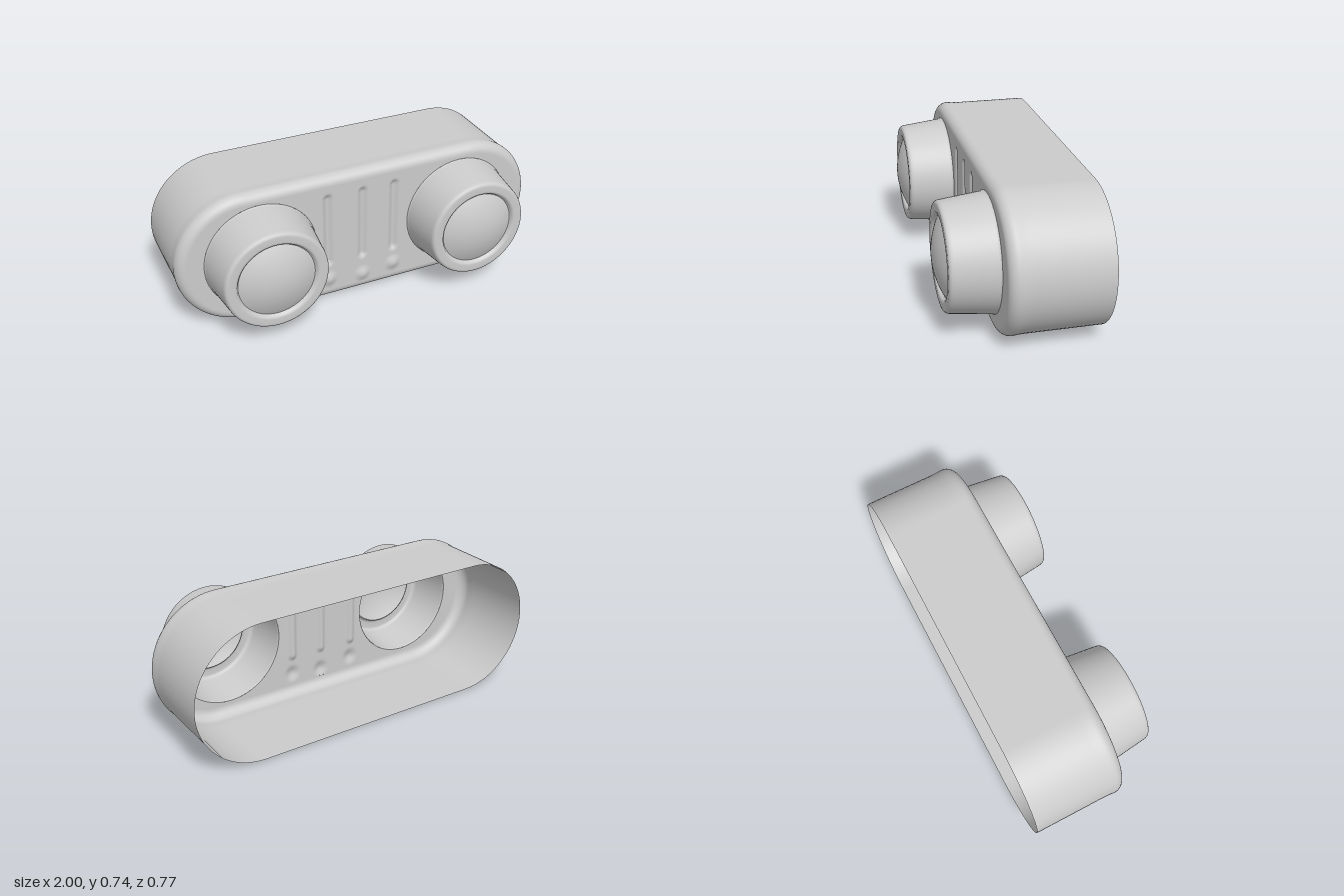
import * as THREE from 'three';

const CY = 0.368, R = 0.368, HALF = 1 - R;   // stadium outline
const BACK = -0.385, FACE = 0.114;           // shell depth
const POD_X = 0.56, POD_Y = 0.371, POD_R = 0.3;

const mat = new THREE.MeshStandardMaterial({ color: 0xcccccc, side: THREE.DoubleSide });

function mesh(name, geometry) {
  const m = new THREE.Mesh(geometry, mat);
  m.name = name;
  return m;
}

// Stadium outline moved inwards by inset, counter-clockwise from the front
function stadium(inset, n = 40) {
  const pts = [];
  for (const side of [1, -1]) {
    for (let i = 0; i <= n; i++) {
      const a = -Math.PI / 2 + Math.PI * i / n;
      pts.push(new THREE.Vector2(side * (HALF + (R - inset) * Math.cos(a)), CY + side * (R - inset) * Math.sin(a)));
    }
  }
  return pts;
}

// Skin over stadium sections given as [inset, z], from back to front
function loft(sections) {
  const pos = [], idx = [];
  let n = 0;
  sections.forEach(([inset, z], s) => {
    const ring = stadium(inset);
    n = ring.length;
    ring.forEach(p => pos.push(p.x, p.y, z));
    if (s === 0) return;
    for (let i = 0; i < n; i++) {
      const j = (i + 1) % n, a = (s - 1) * n, b = s * n;
      idx.push(a + i, a + j, b + j, a + i, b + j, b + i);
    }
  });
  const g = new THREE.BufferGeometry();
  g.setAttribute('position', new THREE.Float32BufferAttribute(pos, 3));
  g.setIndex(idx);
  g.computeVertexNormals();
  return g;
}

// Side wall with a rounded front edge
function shellGeometry() {
  const sections = [[0.004, BACK], [0.004, 0.0], [0.003, 0.03], [0, 0.055]];
  for (let i = 1; i <= 10; i++) {
    const a = i / 10 * Math.PI / 2;
    sections.push([0.05 * (1 - Math.cos(a)), 0.06 + (FACE - 0.06) * Math.sin(a)]);
  }
  return loft(sections);
}

// Flat front with openings for the two pods and the ribbed panel
const PANEL = { w: 0.5, h: 0.625, y: 0.3675 };
function faceGeometry() {
  const shape = new THREE.Shape(stadium(0.05));
  for (const s of [-1, 1]) {
    shape.holes.push(new THREE.Path().absarc(s * POD_X, POD_Y, POD_R, 0, Math.PI * 2, true));
  }
  const x = PANEL.w / 2, y0 = PANEL.y - PANEL.h / 2, y1 = PANEL.y + PANEL.h / 2;
  shape.holes.push(new THREE.Path([[-x, y0], [-x, y1], [x, y1], [x, y0]].map(p => new THREE.Vector2(...p))));
  return new THREE.ShapeGeometry(shape, 48).translate(0, 0, FACE);
}

// Panel pressed with three upright grooves, each ending in a small raised bulb
function panelGeometry() {
  const g = new THREE.PlaneGeometry(PANEL.w, PANEL.h, 120, 70).translate(0, PANEL.y, FACE);
  const p = g.attributes.position;
  const bump = (d, r) => (d < r ? 0.5 + 0.5 * Math.cos(Math.PI * d / r) : 0);
  const grooves = [[-0.195, 0.12], [0, 0.1], [0.18, 0.12]];
  for (let i = 0; i < p.count; i++) {
    const x = p.getX(i), y = p.getY(i);
    let z = FACE;
    for (const [gx, by] of grooves) {
      const dy = y - THREE.MathUtils.clamp(y, 0.23, 0.61);
      z -= 0.016 * bump(Math.hypot(x - gx, dy), 0.034);
      z += 0.014 * bump(Math.hypot(x - gx, y - by), 0.055);
    }
    p.setZ(i, z);
  }
  g.computeVertexNormals();
  return g;
}

// Tapered pod: filleted base, rounded rim, and a groove inside the rim
function podGeometry() {
  const profile = [
    [0.3, FACE], [0.297, 0.118], [0.295, 0.126], [0.272, 0.325], [0.27, 0.337], [0.266, 0.345],
    [0.26, 0.35], [0.252, 0.352], [0.222, 0.352], [0.214, 0.35], [0.208, 0.345], [0.204, 0.336], [0.2, 0.333],
  ].map(p => new THREE.Vector2(...p));
  return new THREE.LatheGeometry(profile, 72).rotateX(Math.PI / 2);
}

// Shallow dome filling the pod
function domeGeometry() {
  const profile = [];
  for (let i = 0; i <= 12; i++) {
    const r = 0.2 * (1 - i / 12);
    profile.push(new THREE.Vector2(r, 0.385 - 1.3 * r * r));
  }
  return new THREE.LatheGeometry(profile, 72).rotateX(Math.PI / 2);
}

export function createModel() {
  const model = new THREE.Group();
  model.name = 'twinPodHousing';
  model.add(mesh('shell', shellGeometry()), mesh('frontFace', faceGeometry()), mesh('groovedPanel', panelGeometry()));

  for (const [name, s] of [['leftPod', 1], ['rightPod', -1]]) {
    const pod = new THREE.Group();
    pod.name = name;
    pod.position.set(s * POD_X, POD_Y, 0);
    pod.add(mesh('podBody', podGeometry()), mesh('podDome', domeGeometry()));
    model.add(pod);
  }
  return model;
}
